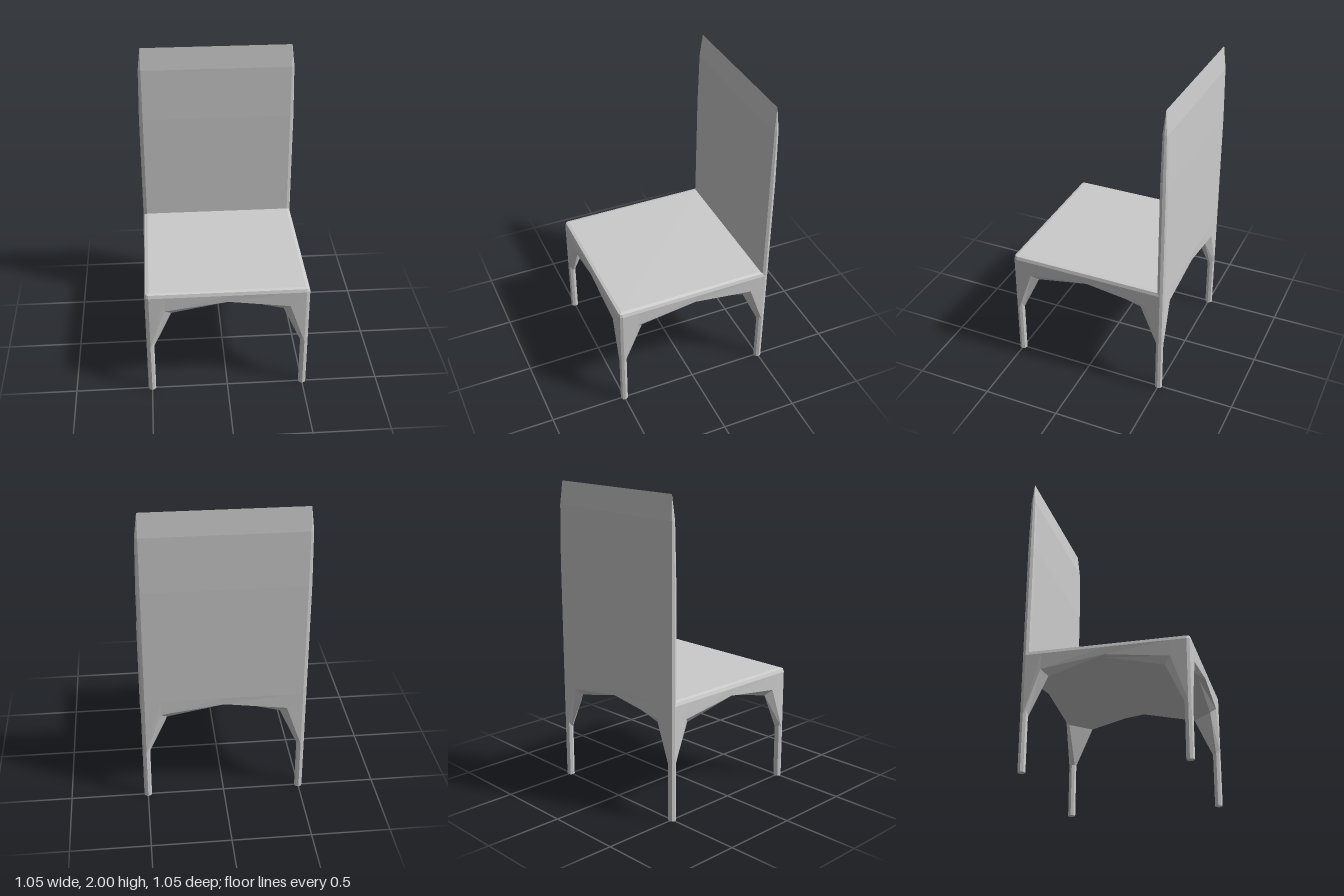
import * as THREE from 'three';

const material = new THREE.MeshStandardMaterial({ color: 0xcccccc, flatShading: true });

function trianglesToGeometry(points) {
  const geometry = new THREE.BufferGeometry().setFromPoints(points);
  geometry.computeVertexNormals();
  return geometry;
}

function addMesh(parent, name, geometry) {
  const mesh = new THREE.Mesh(geometry, material);
  mesh.name = name;
  parent.add(mesh);
  return mesh;
}

// Rectangle between two z lines, 1 wide, with its corners rounded by w
function outline(w, y, zFront, zBack) {
  const ring = [];
  const corners = [[0.5, zFront], [-0.5, zFront], [-0.5, zBack], [0.5, zBack]];
  corners.forEach(([x, z], c) => {
    for (let k = 0; k < 3; k++) {
      const a = c * Math.PI / 2 + k * Math.PI / 4;
      ring.push(new THREE.Vector3(x + w * Math.cos(a), y, z + w * Math.sin(a)));
    }
  });
  return ring;
}

// Joins [corner radius, height] levels and closes the top
function loft(levels, zFront, zBack) {
  const rings = levels.map(([w, y]) => outline(w, y, zFront, zBack));
  const points = [];
  const n = rings[0].length;
  for (let k = 0; k < rings.length - 1; k++) {
    for (let i = 0; i < n; i++) {
      const j = (i + 1) % n;
      const [a, b, c, d] = [rings[k][j], rings[k][i], rings[k + 1][i], rings[k + 1][j]];
      points.push(a, b, c, a, c, d);
    }
  }
  const top = rings[rings.length - 1];
  for (let i = 1; i < n - 1; i++) points.push(top[0], top[i + 1], top[i]);
  return trianglesToGeometry(points);
}

// Mirrors a half profile into a full one running from -x to +x
function arch(half) {
  const right = half.map((p) => new THREE.Vector3(...p));
  const left = right.slice(1).reverse().map((p) => new THREE.Vector3(-p.x, p.y, p.z));
  return [...left, ...right];
}

// One arched apron with its lower edge, the leg bracket at its +x end and its share of the underside
function apronGeometry() {
  const outer = arch([[0, 0.692, 0.522], [0.4, 0.638, 0.523], [0.5, 0.35, 0.525]]);
  const inner = arch([[0, 0.69, 0.48], [0.36, 0.6, 0.488], [0.475, 0.35, 0.5]]);
  const points = [];
  const quad = (a, b, c, d) => points.push(a, b, c, a, c, d);
  for (let i = 0; i < 4; i++) {
    const topA = new THREE.Vector3(outer[i].x, 0.74, 0.525);
    const topB = new THREE.Vector3(outer[i + 1].x, 0.74, 0.525);
    quad(outer[i], outer[i + 1], topB, topA);
    quad(inner[i], inner[i + 1], outer[i + 1], outer[i]);
  }
  const center = new THREE.Vector3(0, 0.705, 0);
  const swap = (p) => new THREE.Vector3(p.z, p.y, p.x);
  const [, , , knee, foot] = inner;
  const knee2 = swap(knee);
  const foot2 = swap(foot);
  const mid = new THREE.Vector3(0.482, 0.35, 0.482);
  points.push(center, inner[2], inner[1], center, knee, inner[2], center, knee2, knee);
  points.push(mid, foot, knee, mid, knee, knee2, mid, knee2, foot2);
  return trianglesToGeometry(points);
}

export function createModel() {
  const chair = new THREE.Group();
  chair.name = 'chair';

  // Seat top with bevelled rim
  addMesh(chair, 'seat', loft([[0.025, 0.74], [0.018, 0.761], [-0.003, 0.767]], 0.5, -0.5));

  // Thin backrest tapering to a sharp top edge
  addMesh(chair, 'backrest',
    loft([[0.025, 0.74], [0.025, 1.5], [0.018, 1.85], [0, 2]], -0.5, -0.5));

  // Four eight-sided legs
  const legShape = new THREE.CylinderGeometry(0.025, 0.025, 0.74, 8);
  for (const z of [0.5, -0.5]) {
    for (const x of [0.5, -0.5]) {
      const leg = addMesh(chair, (z > 0 ? 'front' : 'back') + (x > 0 ? 'Left' : 'Right') + 'Leg', legShape);
      leg.position.set(x, 0.37, z);
    }
  }

  // Arched aprons around the seat
  const apronShape = apronGeometry();
  ['frontApron', 'leftApron', 'backApron', 'rightApron'].forEach((name, i) => {
    addMesh(chair, name, apronShape).rotation.y = i * Math.PI / 2;
  });

  return chair;
}
